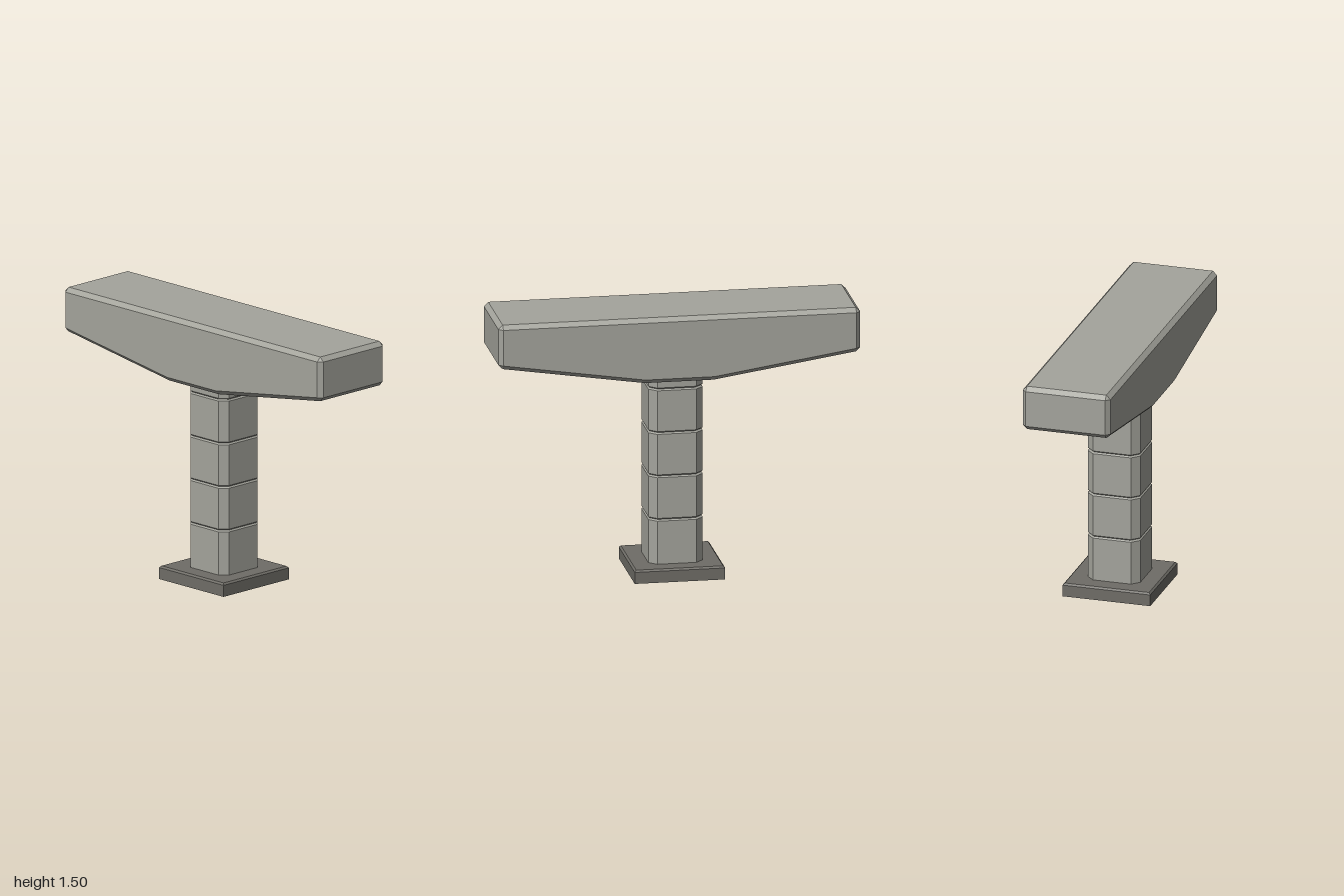
import * as THREE from 'three';
import { ConvexGeometry } from 'three/addons/geometries/ConvexGeometry.js';

const concrete = new THREE.MeshStandardMaterial({ color: 0xa4a49c });
concrete.name = 'light concrete';
const footing = new THREE.MeshStandardMaterial({ color: 0x6f6d67 });
footing.name = 'dark concrete';

// Mirrors points given in the +x +z quarter into a convex solid.
function mirroredHull(points) {
  const all = [];
  for (const [x, y, z] of points)
    for (const sx of [-1, 1])
      for (const sz of [-1, 1]) all.push(new THREE.Vector3(x * sx, y, z * sz));
  return new ConvexGeometry(all);
}

// Square section with cut corners, counter-clockwise seen from above.
function octagon(half, cut, y) {
  const c = half - cut;
  return [[c, half], [half, c], [half, -c], [c, -half], [-c, -half], [-half, -c], [-half, c], [-c, half]]
    .map(([x, z]) => [x, y, z]);
}

// Flat-faced walls between successive sections, bottom to top.
function loft(rings) {
  const pos = [];
  for (let i = 0; i < rings.length - 1; i++) {
    const a = rings[i], b = rings[i + 1], n = a.length;
    for (let j = 0; j < n; j++) {
      const k = (j + 1) % n;
      pos.push(...a[j], ...a[k], ...b[k], ...a[j], ...b[k], ...b[j]);
    }
  }
  const g = new THREE.BufferGeometry();
  g.setAttribute('position', new THREE.Float32BufferAttribute(pos, 3));
  g.computeVertexNormals();
  return g;
}

export function createModel() {
  const model = new THREE.Group();
  model.name = 'bridgePier';
  const add = (name, geometry, material) => {
    const mesh = new THREE.Mesh(geometry, material);
    mesh.name = name;
    model.add(mesh);
  };

  // Foot slab with a small bevel round its top
  add('footSlab', mirroredHull([[0.25, 0, 0.25], [0.25, 0.065, 0.25], [0.24, 0.075, 0.24]]), footing);

  // Column with cut corners and four V grooves
  const rings = [octagon(0.15, 0.042, 0.07)];
  for (const y of [0.327, 0.574, 0.82, 1.067]) {
    rings.push(octagon(0.15, 0.042, y - 0.008), octagon(0.142, 0.04, y), octagon(0.15, 0.042, y + 0.008));
  }
  rings.push(octagon(0.15, 0.042, 1.14));
  add('column', loft(rings), concrete);

  // Hammerhead beam, tapering underneath, every edge bevelled
  const b = 0.024;
  add('hammerheadBeam', mirroredHull([
    // front and back faces
    [1 - b, 1.5 - b, 0.25], [1 - b, 1.25 + b, 0.25], [0.19, 1.13 + b, 0.25],
    // end faces
    [1, 1.5 - b, 0.25 - b], [1, 1.25 + b, 0.25 - b],
    // top and underside
    [1 - b, 1.5, 0.25 - b], [1 - b, 1.25, 0.25 - b], [0.19, 1.13, 0.25 - b],
  ]), concrete);

  return model;
}
